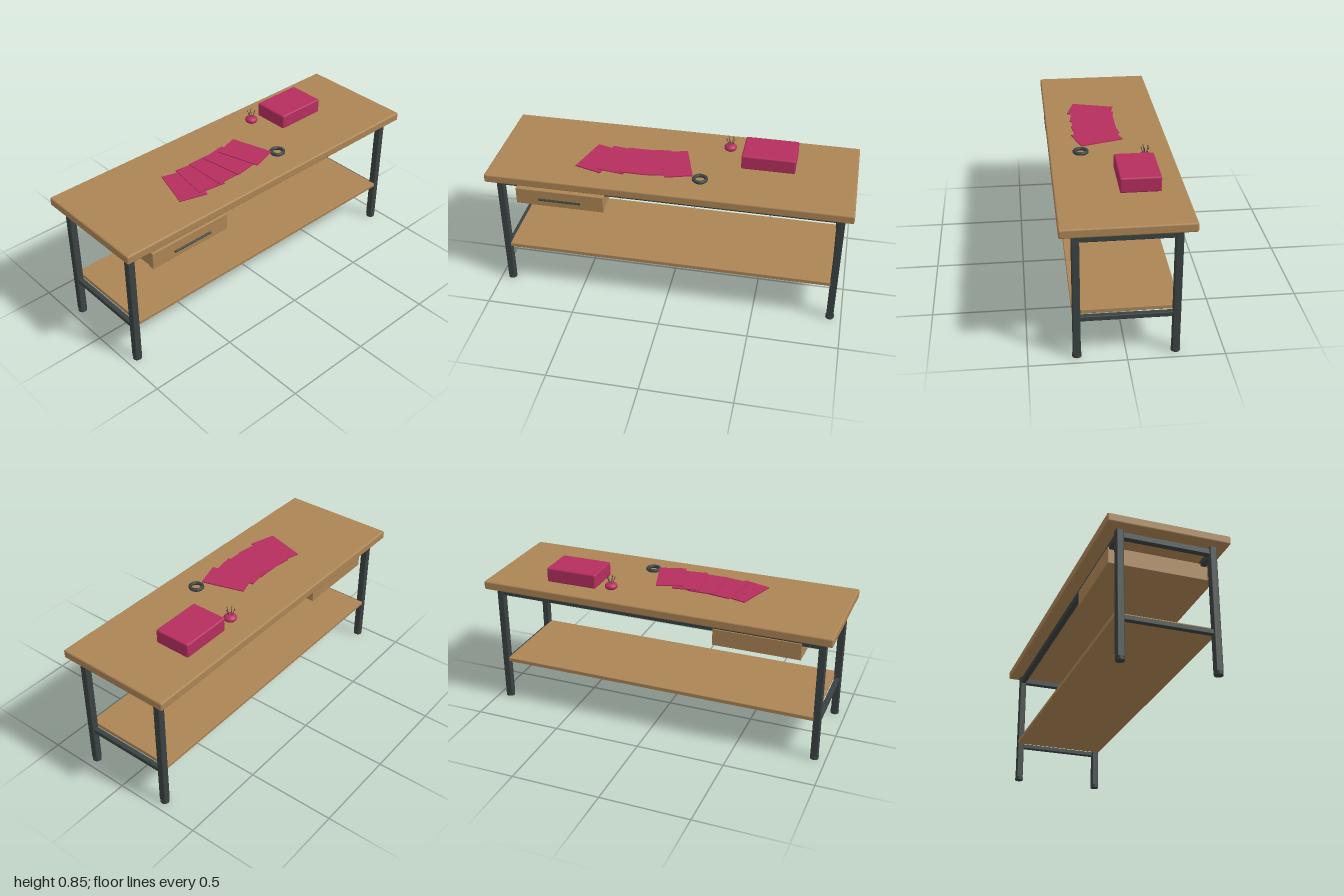
import * as THREE from 'three';
import { RoundedBoxGeometry } from 'three/addons/geometries/RoundedBoxGeometry.js';

const mat = (name, color) => Object.assign(new THREE.MeshStandardMaterial({ color }), { name });

export function createModel() {
  const wood = mat('oak wood', 0xac8555);
  const steel = mat('dark steel', 0x3a4241);
  const fabric = mat('raspberry fabric', 0xb52e5e);

  const model = new THREE.Group();
  model.name = 'workTable';

  const add = (name, geometry, material, x, y, z, parent = model) => {
    const mesh = new THREE.Mesh(geometry, material);
    mesh.name = name;
    mesh.position.set(x, y, z);
    parent.add(mesh);
    return mesh;
  };
  // Rounded block given by its limits on each axis
  const block = (name, material, [x0, x1], [y0, y1], [z0, z1], r = 0.005) =>
    add(name, new RoundedBoxGeometry(x1 - x0, y1 - y0, z1 - z0, 2, r), material,
      (x0 + x1) / 2, (y0 + y1) / 2, (z0 + z1) / 2);

  // Wooden boards
  block('tableTop', wood, [-1, 1], [0.718, 0.767], [-0.333, 0.333], 0.009);
  block('lowerShelf', wood, [-0.92, 0.92], [0.24, 0.263], [-0.273, 0.273], 0.003);

  // Legs, round feet and side rails
  const legX = 0.937, legZ = 0.252, half = 0.02;
  for (const sx of [-1, 1]) {
    const x = sx * legX;
    for (const sz of [-1, 1]) {
      const z = sz * legZ;
      block('leg', steel, [x - half, x + half], [0.014, 0.716], [z - half, z + half], 0.006);
      add('foot', new THREE.CylinderGeometry(0.024, 0.024, 0.018, 20), steel, x, 0.009, z);
    }
    const span = [-legZ, legZ];
    block('upperSideRail', steel, [x - 0.016, x + 0.016], [0.667, 0.701], span, 0.004);
    block('lowerSideRail', steel, [x - 0.014, x + 0.014], [0.214, 0.241], span, 0.004);
  }

  // Long rails under the top
  for (const z of [-legZ, legZ]) {
    block('longRail', steel, [-legX, legX], [0.667, 0.701], [z - 0.016, z + 0.016], 0.004);
  }

  // Drawer with bar handle
  block('drawerBody', wood, [-0.83, -0.345], [0.587, 0.682], [-0.273, 0.28], 0.003);
  block('drawerFront', wood, [-0.835, -0.34], [0.586, 0.684], [0.272, 0.308], 0.004);
  const handle = add('drawerHandle', new THREE.CylinderGeometry(0.006, 0.006, 0.235, 12), steel,
    -0.585, 0.635, 0.322);
  handle.rotation.z = Math.PI / 2;

  // Storage box
  block('storageBox', fabric, [0.365, 0.662], [0.767, 0.85], [-0.207, 0.005], 0.009);

  // Fan of fabric swatches, each lying on the one before
  [-0.42, -0.312, -0.205, -0.098, 0.015].forEach((x, i) => {
    const swatch = add('swatch', new THREE.BoxGeometry(0.155, 0.006, 0.246), fabric,
      x, 0.7715 + i * 0.0046, 0.06);
    swatch.rotation.y = (i - 2) * 0.145;
  });

  // Swatch ring
  const ring = add('swatchRing', new THREE.TorusGeometry(0.034, 0.01, 12, 32), steel, 0.165, 0.778, 0.162);
  ring.rotation.x = Math.PI / 2;

  // Pincushion with splayed pins
  const cushion = new THREE.Group();
  cushion.name = 'pincushion';
  cushion.position.set(0.282, 0.788, -0.173);
  model.add(cushion);
  add('cushion', new THREE.SphereGeometry(0.036, 24, 16), fabric, 0, 0, 0, cushion).scale.y = 0.6;
  for (let i = 0; i < 5; i++) {
    const a = (i / 5) * Math.PI * 2 + 0.3;
    const dir = new THREE.Vector3(Math.cos(a) * 0.35, 1, Math.sin(a) * 0.35).normalize();
    const pin = add('pin', new THREE.CylinderGeometry(0.0016, 0.0016, 0.045, 6), steel,
      dir.x * 0.035 + Math.cos(a) * 0.004, dir.y * 0.035, dir.z * 0.035 + Math.sin(a) * 0.004, cushion);
    pin.quaternion.setFromUnitVectors(new THREE.Vector3(0, 1, 0), dir);
    add('pinHead', new THREE.SphereGeometry(0.003, 8, 6), steel, 0, 0.0225, 0, pin);
  }

  return model;
}
